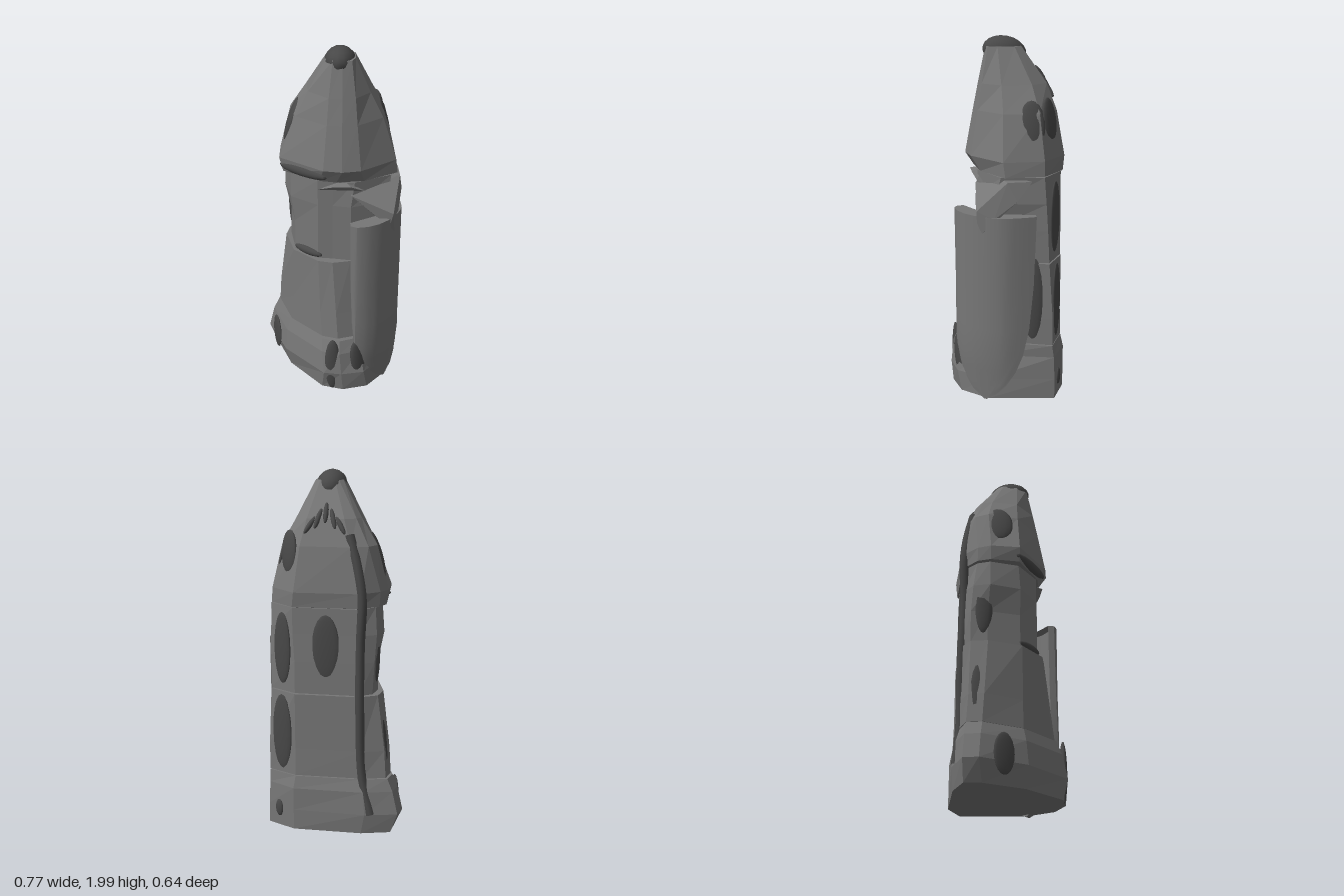
import * as THREE from 'three';
import { toCreasedNormals } from 'three/addons/utils/BufferGeometryUtils.js';
import { ConvexGeometry } from 'three/addons/geometries/ConvexGeometry.js';

const stone = new THREE.MeshStandardMaterial({ color: 0x777777, flatShading: true });
const smoothStone = new THREE.MeshStandardMaterial({ color: 0x777777 });
const moss = new THREE.MeshStandardMaterial({ color: 0x484848 });

// Closed solid through rings of equal length; each ring is [y, [x, z], [x, z], ...]
function loft(rings) {
  const pos = [];
  const R = rings.map(([y, ...pts]) => pts.map(([x, z]) => [x, y, z]));
  const tri = (a, b, c) => pos.push(...a, ...b, ...c);
  const n = R[0].length;
  for (let i = 0; i < R.length - 1; i++) {
    for (let j = 0; j < n; j++) {
      const k = (j + 1) % n;
      tri(R[i][j], R[i][k], R[i + 1][k]);
      tri(R[i][j], R[i + 1][k], R[i + 1][j]);
    }
  }
  const top = R[R.length - 1];
  const mid = ring => [0, 1, 2].map(a => ring.reduce((s, p) => s + p[a], 0) / n);
  const cb = mid(R[0]), ct = mid(top);
  for (let j = 0; j < n; j++) {
    const k = (j + 1) % n;
    tri(cb, R[0][k], R[0][j]);
    tri(ct, top[j], top[k]);
  }
  const g = new THREE.BufferGeometry();
  g.setAttribute('position', new THREE.Float32BufferAttribute(pos, 3));
  g.computeVertexNormals();
  return g;
}

// Curved shield whose width narrows to a point at the foot
function shieldGeometry() {
  const plan = [[.095, .27], [.13, .29], [.19, .28], [.25, .25], [.3, .205], [.345, .145],
    [.375, .08], [.385, .03], [.38, -.05], [.37, -.125]];
  const at = t => {
    const f = Math.min(t * (plan.length - 1), plan.length - 1.0001), i = Math.floor(f), u = f - i;
    return [0, 1].map(a => plan[i][a] * (1 - u) + plan[i + 1][a] * u);
  };
  const steps = 18, thick = .035;
  const rows = [[.015, .02], [.06, .24], [.12, .45], [.2, .65], [.3, .79], [.45, .89], [.7, .96], [1.09, 1]];
  return loft(rows.map(([y, w]) => {
    const outer = [], inner = [];
    for (let i = 0; i <= steps; i++) {
      const t = .5 + (i / steps - .5) * w;
      const [x, z] = at(t);
      // lower end leans back toward the body, thickness follows the curve
      const lean = Math.max(0, .3 - y) * .1, a = t * Math.PI / 2;
      outer.push([x - lean * .6, z - lean]);
      inner.unshift([x - lean * .6 - thick * Math.sin(a), z - lean - thick * Math.cos(a)]);
    }
    return [y, ...outer, ...inner];
  }));
}

export function createModel() {
  const model = new THREE.Group();
  const add = (name, geometry, material = stone) => {
    const m = new THREE.Mesh(geometry, material);
    m.name = name;
    model.add(m);
    return m;
  };

  // Rings run from the back right corner round the front to the back
  add('base', loft([
    [.025, [-.33, -.27], [-.34, -.18], [-.25, .05], [-.06, .27], [.06, .305], [.2, .27], [.32, .13], [.365, -.235], [.21, -.31], [-.17, -.31]],
    [.14, [-.37, -.28], [-.39, -.2], [-.28, .06], [-.05, .3], [.05, .315], [.18, .29], [.31, .13], [.365, -.235], [.21, -.31], [-.19, -.32]],
    [.27, [-.34, -.27], [-.36, -.19], [-.27, .05], [-.06, .27], [.04, .3], [.16, .26], [.28, .1], [.36, -.23], [.21, -.31], [-.18, -.31]],
    [.34, [-.31, -.26], [-.33, -.18], [-.25, .04], [-.06, .24], [.04, .27], [.15, .23], [.27, .1], [.36, -.22], [.2, -.295], [-.17, -.29]],
  ]));

  add('lowerRobe', loft([
    [.345, [-.3, -.26], [-.32, -.18], [-.24, .04], [-.06, .22], [.03, .25], [.13, .22], [.26, .1], [.36, -.22], [.2, -.295], [-.17, -.29]],
    [.5, [-.29, -.25], [-.31, -.17], [-.23, .04], [-.07, .2], [.02, .23], [.12, .2], [.26, .1], [.36, -.22], [.2, -.29], [-.16, -.29]],
    [.815, [-.25, -.24], [-.27, -.15], [-.22, .04], [-.08, .17], [0, .19], [.1, .17], [.26, .1], [.35, -.2], [.2, -.29], [-.15, -.29]],
  ]));

  add('torso', loft([
    [.82, [-.22, -.24], [-.24, -.15], [-.21, .03], [-.08, .14], [0, .15], [.1, .17], [.26, .1], [.345, -.2], [.2, -.285], [-.15, -.285]],
    [1, [-.23, -.24], [-.24, -.15], [-.21, .03], [-.08, .14], [0, .15], [.1, .17], [.27, .1], [.35, -.19], [.2, -.285], [-.15, -.285]],
    [1.15, [-.24, -.23], [-.27, -.14], [-.23, .03], [-.08, .14], [0, .15], [.1, .17], [.3, .09], [.35, -.18], [.21, -.28], [-.15, -.28]],
    [1.295, [-.23, -.21], [-.26, -.14], [-.23, .02], [-.08, .14], [0, .15], [.12, .16], [.32, .06], [.345, -.17], [.21, -.28], [-.14, -.28]],
  ]));

  // Narrow core seen in the seams between the blocks
  add('core', loft([.05, 1.32].map(y =>
    [y, [-.21, -.2], [-.22, -.14], [-.19, .02], [-.07, .12], [.1, .13], [.25, .07], [.315, -.17], [.19, -.27], [-.14, -.265]])), moss);

  // Hood of broad facets, with a steep front and a hunched back
  add('hood', loft([
    [1.3, [-.25, -.21], [-.28, -.14], [-.27, .02], [-.07, .15], [.02, .17], [.17, .15], [.355, .04], [.345, -.17], [.21, -.29], [-.15, -.285]],
    [1.38, [-.255, -.21], [-.29, -.14], [-.29, .02], [-.05, .2], [.05, .22], [.15, .2], [.345, .05], [.34, -.17], [.2, -.3], [-.16, -.29]],
    [1.62, [-.19, -.22], [-.23, -.15], [-.2, .02], [-.03, .16], [.05, .175], [.13, .16], [.27, .04], [.285, -.15], [.17, -.26], [-.1, -.26]],
    [1.76, [-.12, -.175], [-.14, -.12], [-.13, .025], [-.02, .135], [.05, .147], [.12, .135], [.2, .04], [.21, -.12], [.14, -.21], [-.06, -.21]],
    [1.95, [-.01, -.07], [-.03, -.04], [-.03, .04], [0, .1], [.05, .107], [.1, .1], [.12, .05], [.12, -.04], [.09, -.08], [.01, -.08]],
  ]));

  add('shield', toCreasedNormals(shieldGeometry(), .6), smoothStone);

  const convex = pts => new ConvexGeometry(pts.map(p => new THREE.Vector3(...p)));
  add('shoulderDrape', convex([[.1, 1.22, .17], [.1, 1.28, .1], [.365, 1.28, -.1], [.385, 1.18, -.02],
    [.37, 1.28, .03], [.36, 1.08, .1], [.34, 1.0, .16], [.31, 1.04, .185], [.33, 1.12, .19], [.25, 1.15, .1]]));
  add('collarClasp', convex([[-.08, 1.235, .13], [.18, 1.235, .14], [-.07, 1.25, .15], [.17, 1.25, .17],
    [0, 1.28, .19], [.1, 1.28, .19], [.05, 1.3, .12]]));

  // Flattened mossy lumps: position, radii, tilt about x, y and z
  const lump = (name, p, r, tilt = [0, 0, 0]) => {
    const m = add(name, new THREE.SphereGeometry(1, 14, 10), moss);
    m.position.set(...p);
    m.scale.set(...r);
    m.rotation.set(...tilt);
  };
  lump('crown', [.04, 1.92, .003], [.083, .08, .12], [-.2, 0, 0]);
  lump('hoodMoss', [-.222, 1.56, -.09], [.025, .13, .08], [0, 0, -.3]);
  lump('hoodMoss', [.282, 1.56, -.11], [.02, .13, .07], [0, 0, .25]);
  lump('hoodMoss', [.235, 1.58, -.21], [.06, .12, .02], [.15, -.7, 0]);
  lump('hoodRimMoss', [-.16, 1.335, .098], [.16, .03, .025], [0, -.64, 0]);
  lump('torsoMoss', [.275, 1.06, -.24], [.06, .2, .015], [0, -.55, 0]);
  lump('torsoMoss', [-.232, 1.05, -.17], [.02, .18, .05]);
  lump('torsoMoss', [.03, 1.08, -.28], [.075, .18, .012]);
  lump('robeMoss', [.28, .58, -.252], [.065, .22, .015], [0, -.45, 0]);
  lump('robeMoss', [.32, .6, -.12], [.02, .25, .06], [0, -.25, 0]);
  lump('robeMoss', [-.285, .52, -.19], [.015, .18, .05], [0, 0, -.1]);
  lump('beltMoss', [-.135, .84, .088], [.1, .025, .025], [0, -.7, 0]);
  lump('baseMoss', [0, .19, .285], [.045, .17, .02]);
  lump('baseMoss', [.15, .2, .265], [.05, .15, .025], [0, .6, .2]);
  lump('baseMoss', [-.335, .18, -.07], [.012, .11, .06], [0, .4, 0]);
  lump('baseMoss', [.3, .13, -.267], [.025, .05, .012], [0, -.45, 0]);

  // Short streaks fanning over the back of the hood
  for (let i = -2; i <= 2; i++) {
    lump('hoodStreak', [.04 + i * .04, 1.79 - Math.abs(i) * .03, -.193 - Math.abs(i) * .012],
      [.014, .06, .016], [.55, 0, i * .25]);
  }

  // Long growth down the back corner
  const vine = new THREE.CatmullRomCurve3([[-.09, 1.68, -.225], [-.14, 1.5, -.262], [-.165, 1.34, -.278],
    [-.155, 1.1, -.27], [-.155, .75, -.28], [-.17, .35, -.28], [-.22, .14, -.3]].map(p => new THREE.Vector3(...p)));
  add('backVine', new THREE.TubeGeometry(vine, 30, .026, 8), moss);

  return model;
}
